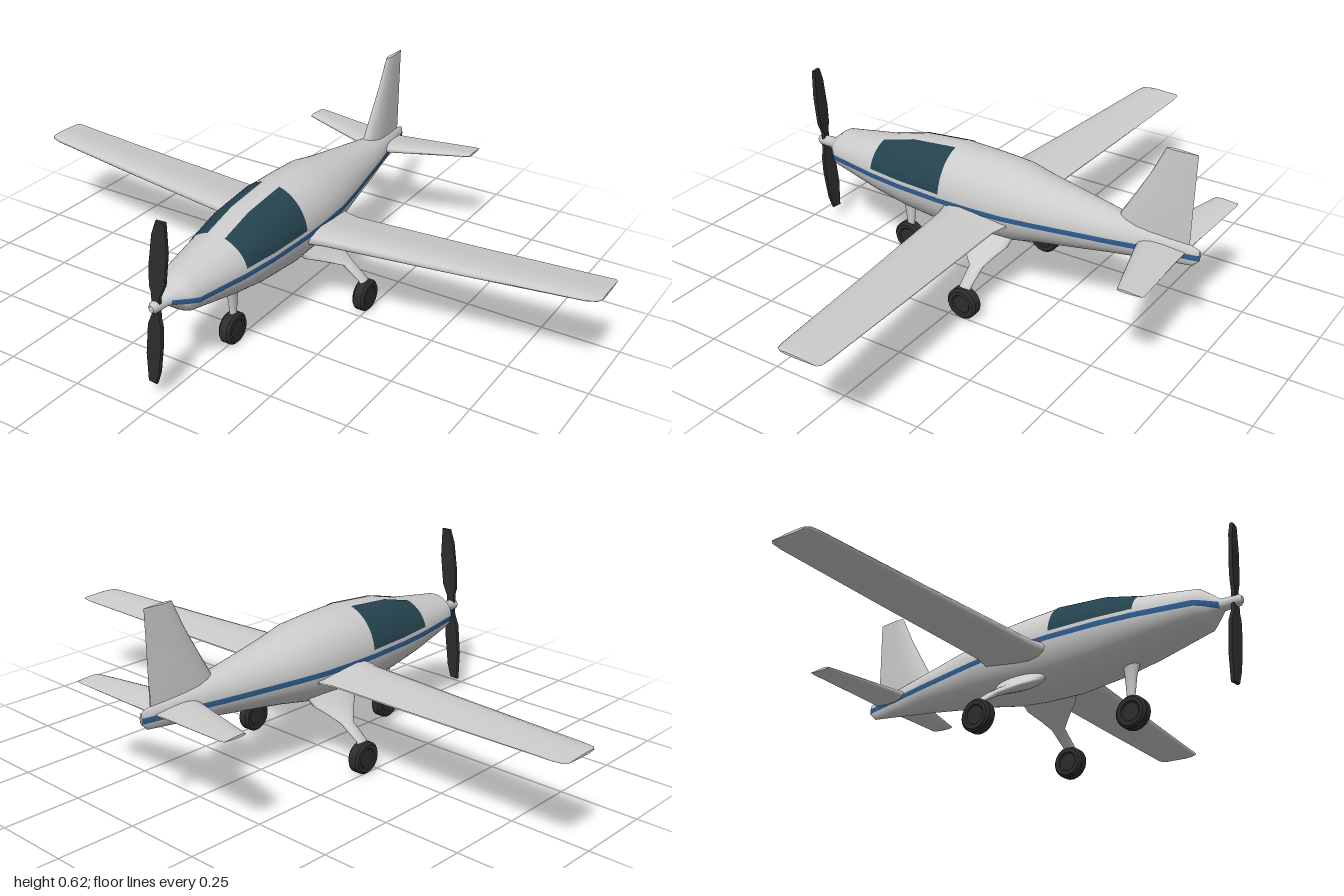
import * as THREE from 'three';
import { toCreasedNormals } from 'three/addons/utils/BufferGeometryUtils.js';

const material = (color) => new THREE.MeshStandardMaterial({ color, side: THREE.DoubleSide });
const GREY = material(0xcccccc);
const GLASS = material(0x24434f);
const BLUE = material(0x2f5f92);
const BLACK = material(0x2b2d2f);

// Skin a list of rings; rings run counter-clockwise seen from the last ring's end.
function loft(rings, { closed = true, caps = true } = {}) {
  const n = rings[0].length, pos = rings.flat(2), index = [];
  const cols = closed ? n : n - 1;
  for (let r = 0; r < rings.length - 1; r++) {
    for (let i = 0; i < cols; i++) {
      const a = r * n + i, b = r * n + (i + 1) % n;
      index.push(a, b, b + n, a, b + n, a + n);
    }
  }
  if (caps) {
    [[...rings[0]].reverse(), rings[rings.length - 1]].forEach((ring) => {
      const base = pos.length / 3;
      pos.push(...ring.flat());
      pos.push(...[0, 1, 2].map((k) => ring.reduce((s, p) => s + p[k], 0) / n));
      for (let i = 0; i < n; i++) index.push(base + i, base + (i + 1) % n, base + n);
    });
  }
  const g = new THREE.BufferGeometry();
  g.setAttribute('position', new THREE.Float32BufferAttribute(pos, 3));
  g.setIndex(index);
  g.computeVertexNormals();
  return g;
}

const mirror = (rings) => rings.map((ring) => ring.map(([x, y, z]) => [-x, y, z]).reverse());

// Fuselage stations, tail to nose: z, top, bottom, half width
const STATIONS = [
  [-0.70, 0.325, 0.29, 0.004], [-0.68, 0.332, 0.27, 0.01], [-0.6, 0.346, 0.26, 0.025],
  [-0.44, 0.373, 0.24, 0.06], [-0.2, 0.412, 0.204, 0.106], [-0.1, 0.435, 0.183, 0.122],
  [0.0, 0.441, 0.173, 0.128], [0.12, 0.445, 0.169, 0.13], [0.28, 0.43, 0.185, 0.122],
  [0.40, 0.398, 0.208, 0.108], [0.58, 0.37, 0.246, 0.074], [0.6, 0.355, 0.26, 0.056],
  [0.635, 0.327, 0.289, 0.02], [0.69, 0.325, 0.291, 0.016], [0.70, 0.318, 0.298, 0.008],
];

// Point on the fuselage skin, lifted outwards by a small amount
const skin = ([z, top, bottom, w], a, lift = 0) => [
  (w + lift) * Math.cos(a), (top + bottom) / 2 + ((top - bottom) / 2 + lift) * Math.sin(a), z];

// Angle at which the skin reaches a height
const angleAt = ([, top, bottom], y) =>
  Math.asin(THREE.MathUtils.clamp((y - (top + bottom) / 2) / ((top - bottom) / 2), -0.9, 0.9));

// Painted or glazed patch between two angles per station
function patch(zMin, zMax, from, to) {
  return STATIONS.filter((s) => s[0] >= zMin && s[0] <= zMax).map((s) =>
    Array.from({ length: 17 }, (_, i) => skin(s, THREE.MathUtils.lerp(from(s), to(s), i / 16), 0.0015)));
}

// Aerofoil outline from trailing edge over the top to the nose and back
const UPPER = [[1, 0.04], [0.75, 0.24], [0.5, 0.42], [0.3, 0.5], [0.14, 0.42], [0.04, 0.24]];
const FOIL = [...UPPER, [0, 0], ...UPPER.map(([t, h]) => [t, -h]).reverse()];

// Horizontal surface from stations: x, leading z, trailing z, y, thickness
const wingRings = (stations) => stations.map(([x, lead, trail, y, thick]) =>
  FOIL.map(([t, h]) => [x, y + h * thick, THREE.MathUtils.lerp(lead, trail, t)]));

// Strut from stations, bottom to top: x, y, z, radius in x, radius in z
const strutRings = (stations) => stations.map(([x, y, z, rx, rz]) =>
  Array.from({ length: 20 }, (_, i) => {
    const a = (i / 20) * Math.PI * 2;
    return [x + rx * Math.sin(a), y, z + rz * Math.cos(a)];
  }));

export function createModel() {
  const model = new THREE.Group();
  const add = (name, geometry, mat = GREY) => {
    const mesh = new THREE.Mesh(geometry, mat);
    mesh.name = name;
    model.add(mesh);
    return mesh;
  };
  const addPair = (name, rings, options, mat) => {
    add(`${name}Left`, loft(rings, options), mat);
    add(`${name}Right`, loft(mirror(rings), options), mat);
  };
  const OPEN = { closed: false, caps: false };

  // Body with side windows and a stripe
  add('fuselage', loft(STATIONS.map((s) =>
    Array.from({ length: 64 }, (_, i) => skin(s, (i / 64) * Math.PI * 2)))));
  addPair('window', patch(0.12, 0.4, (s) => angleAt(s, 0.322), (s) => Math.acos(0.03 / s[3])), OPEN, GLASS);
  addPair('stripe', patch(-0.7, 0.635, (s) => angleAt(s, 0.293), (s) => angleAt(s, 0.31)), OPEN, BLUE);

  // Wings and tailplane
  addPair('wing', wingRings([
    [0.08, 0.12, -0.13, 0.277, 0.06], [0.17, 0.096, -0.109, 0.277, 0.045],
    [0.6, 0.048, -0.127, 0.288, 0.034], [0.96, 0.008, -0.143, 0.3, 0.022],
    [0.99, 0.0, -0.143, 0.303, 0.016], [1.0, -0.015, -0.135, 0.304, 0.008],
  ]), { closed: false });
  addPair('tailplane', wingRings([
    [0, -0.51, -0.66, 0.309, 0.034], [0.06, -0.525, -0.662, 0.313, 0.028],
    [0.3, -0.598, -0.68, 0.327, 0.014], [0.312, -0.602, -0.678, 0.328, 0.008],
  ]), { closed: false });

  // Fin stations: y, leading z, trailing z, thickness
  add('fin', loft([
    [0.3, -0.40, -0.665, 0.045], [0.373, -0.443, -0.667, 0.042], [0.45, -0.488, -0.668, 0.032],
    [0.53, -0.533, -0.67, 0.022], [0.618, -0.575, -0.672, 0.013],
  ].map(([y, lead, trail, thick]) =>
    FOIL.map(([t, h]) => [-h * thick, y, THREE.MathUtils.lerp(lead, trail, t)])), { closed: false }));

  // Landing gear
  addPair('mainGearLeg', strutRings([
    [0.237, 0.06, -0.05, 0.01, 0.018], [0.23, 0.103, -0.05, 0.012, 0.02],
    [0.17, 0.145, -0.05, 0.018, 0.023], [0.13, 0.168, -0.035, 0.026, 0.055],
    [0.09, 0.19, -0.02, 0.035, 0.09], [0.05, 0.23, -0.01, 0.04, 0.11],
  ]));
  add('noseGearLeg', loft(strutRings([
    [0, 0.06, 0.325, 0.01, 0.012], [0, 0.11, 0.325, 0.01, 0.014], [0, 0.17, 0.327, 0.014, 0.02],
    [0, 0.205, 0.33, 0.022, 0.028], [0, 0.24, 0.33, 0.035, 0.04],
  ])));
  const tyre = toCreasedNormals(new THREE.LatheGeometry(
    [[0, -0.016], [0.028, -0.016], [0.032, -0.02], [0.044, -0.02], [0.051, -0.013],
      [0.051, 0.013], [0.044, 0.02], [0.032, 0.02], [0.028, 0.016], [0, 0.016]]
      .map(([r, y]) => new THREE.Vector2(r, y)), 32).rotateZ(Math.PI / 2), 0.6);
  [['noseWheel', 0, 0.33], ['mainWheelLeft', 0.238, -0.05], ['mainWheelRight', -0.238, -0.05]]
    .forEach(([name, x, z]) => add(name, tyre, BLACK).position.set(x, 0.051, z));

  // Two-bladed propeller
  const blade = new THREE.Shape([[-0.012, 0], [-0.012, 0.04], [-0.017, 0.06], [-0.015, 0.12], [0.0, 0.22],
    [0.015, 0.262], [0.042, 0.262], [0.044, 0.17], [0.032, 0.07], [0.014, 0.03], [0.012, 0]]
    .map(([x, y]) => new THREE.Vector2(x, y)));
  const bladeGeometry = new THREE.ExtrudeGeometry(blade, {
    depth: 0.006, bevelThickness: 0.003, bevelSize: 0.002, bevelSegments: 1 }).translate(0, 0, -0.003);
  const propeller = new THREE.Group();
  propeller.name = 'propeller';
  propeller.position.set(0, 0.31, 0.676);
  for (let i = 0; i < 2; i++) {
    const mesh = new THREE.Mesh(bladeGeometry, BLACK);
    mesh.name = `blade${i + 1}`;
    mesh.rotation.set(0, 0.1, i * Math.PI, 'ZYX');
    propeller.add(mesh);
  }
  model.add(propeller);
  return model;
}
